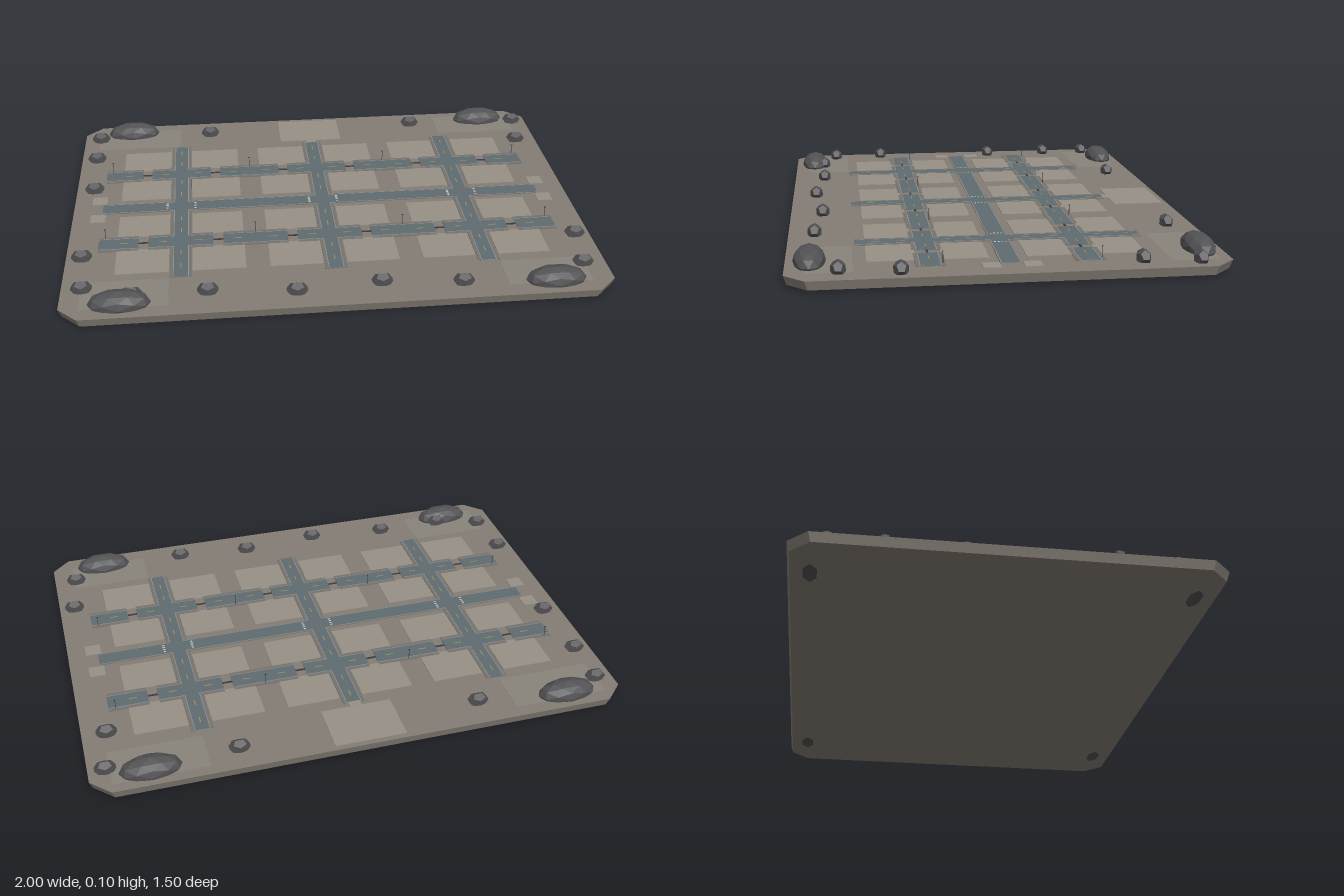
import * as THREE from 'three';

const mat = (color, flatShading = false) => new THREE.MeshStandardMaterial({ color, flatShading });

export function createModel() {
  const model = new THREE.Group();
  const ground = mat(0x857d75), paving = mat(0x979087), lot = mat(0x89857c), walk = mat(0x76736e);
  const asphalt = mat(0x5f6c70), kerb = mat(0x8c9190), paint = mat(0xd0d0c8), yellow = mat(0xa0905c);
  const metal = mat(0x3c3c3e), stone = mat(0x525154, true);
  const TOP = 0.0415;

  // Thin slab resting in the ground, given by centre, size and top height
  const pad = (parent, name, m, x, z, w, d, top) => {
    const h = top - 0.036;
    const mesh = new THREE.Mesh(new THREE.BoxGeometry(w, h, d), m);
    mesh.position.set(x, top - h / 2, z);
    mesh.name = name;
    parent.add(mesh);
  };
  const section = (name) => {
    const g = new THREE.Group();
    g.name = name;
    model.add(g);
    return g;
  };

  // Base plate with cut corners, slightly narrower at the bottom
  const c = 0.07, X = 1, Z = 0.75;
  const outline = new THREE.Shape([
    [-X + c, -Z], [X - c, -Z], [X, -Z + c], [X, Z - c],
    [X - c, Z], [-X + c, Z], [-X, Z - c], [-X, -Z + c],
  ].map(([x, y]) => new THREE.Vector2(x, y)));
  const plate = new THREE.ExtrudeGeometry(outline, { depth: TOP - 0.008, bevelEnabled: false });
  plate.rotateX(-Math.PI / 2).translate(0, 0.008, 0);
  const p = plate.attributes.position;
  for (let i = 0; i < p.count; i++) {
    if (p.getY(i) < 0.02) p.setXYZ(i, p.getX(i) * 0.99, p.getY(i), p.getZ(i) * 0.987);
  }
  plate.computeVertexNormals();
  const base = new THREE.Mesh(plate, ground);
  base.name = 'basePlate';
  model.add(base);

  // Building lots
  const columns = [-0.715, -0.43, -0.143, 0.143, 0.43, 0.715];
  const lots = section('buildingLots');
  for (const x of columns) {
    for (const s of [-1, 1]) {
      pad(lots, 'innerLot', paving, x, s * 0.143, 0.198, 0.157, 0.0437);
      pad(lots, 'outerLot', paving, x, s * 0.395, 0.198, 0.167, 0.0437);
    }
  }
  pad(lots, 'plaza', paving, 0, -0.632, 0.268, 0.196, 0.0437);
  pad(lots, 'plazaStep', paving, 0, -0.522, 0.045, 0.025, 0.0455);
  for (const x of [-0.9, 0.9]) {
    for (const z of [-0.072, 0.068]) pad(lots, 'gatePad', paving, x, z, 0.06, 0.06, 0.0437);
  }
  pad(lots, 'cornerField', lot, -0.755, -0.615, 0.36, 0.17, 0.0422);
  pad(lots, 'cornerField', lot, 0.752, -0.628, 0.345, 0.165, 0.0422);
  pad(lots, 'cornerField', lot, -0.772, 0.605, 0.315, 0.17, 0.0422);
  pad(lots, 'cornerField', lot, 0.765, 0.605, 0.31, 0.16, 0.0422);

  // Roads with pavement and kerb, stacked in thin layers
  const roads = section('roads');
  const road = (x, z, w, d, side, lift = 0) => {
    const alongX = w > d;
    const wide = (n) => (alongX ? [w, d + n] : [w + n, d]);
    pad(roads, 'pavement', walk, x, z, ...wide(side), 0.0441 + lift);
    pad(roads, 'kerb', kerb, x, z, ...wide(0.006), 0.0444 + lift);
    pad(roads, 'road', asphalt, x, z, w, d, 0.0447 + lift);
  };
  const avenues = [-0.572, 0, 0.572];
  const edges = [-0.885, ...columns.flatMap((x) => [x - 0.019, x + 0.019]), 0.885];
  for (const z of [-0.272, 0.268]) {
    for (let i = 0; i < edges.length; i += 2) {
      road((edges[i] + edges[i + 1]) / 2, z, edges[i + 1] - edges[i], 0.068, 0.035);
    }
    for (const x of columns) pad(roads, 'linkBar', metal, x, z, 0.04, 0.007, 0.0446);
  }
  for (const x of avenues) road(x, 0, 0.052, 1.03, 0.03, 0.0001);
  road(0, 0, 1.77, 0.062, 0.01, 0.0002);

  // Dashed centre lines and crossings
  const marks = section('roadMarkings');
  for (const x of avenues) {
    for (const z of [-0.46, -0.36, -0.2, -0.1, 0.1, 0.19, 0.35, 0.44]) {
      pad(marks, 'centreDash', yellow, x, z, 0.004, 0.03, 0.0452);
    }
    for (const s of [-1, 1]) {
      for (let i = 0; i < 4; i++) {
        pad(marks, 'crossingStripe', paint, x + s * 0.056, -0.0195 + i * 0.013, 0.009, 0.006, 0.0453);
      }
    }
  }
  for (const z of [-0.272, 0.268]) {
    for (const x of columns) {
      for (const s of [-1, 1]) pad(marks, 'centreDash', yellow, x + s * 0.075, z, 0.03, 0.004, 0.0452);
    }
  }

  // Street lamps
  const lamps = section('streetLamps');
  for (const z of [-0.316, 0.226]) {
    for (const x of [-0.86, -0.285, 0.29, 0.86]) {
      const pole = new THREE.Mesh(new THREE.CylinderGeometry(0.001, 0.0012, 0.044, 6), metal);
      pole.position.set(x, 0.063, z);
      pole.name = 'lampPole';
      const head = new THREE.Mesh(new THREE.BoxGeometry(0.007, 0.002, 0.004), metal);
      head.position.set(x, 0.085, z);
      head.name = 'lampHead';
      lamps.add(pole, head);
    }
  }

  // Corner hills and scattered boulders
  const rocks = section('rocks');
  const hill = new THREE.IcosahedronGeometry(1, 1);
  const boulder = new THREE.DodecahedronGeometry(1, 0);
  const rock = (name, geo, x, y, z, sx, sy, sz) => {
    const mesh = new THREE.Mesh(geo, stone);
    mesh.position.set(x, y, z);
    mesh.scale.set(sx, sy, sz);
    mesh.name = name;
    rocks.add(mesh);
  };
  for (const x of [-0.787, 0.785]) {
    for (const z of [-0.672, 0.668]) rock('hill', hill, x, 0.049, z, 0.112, 0.049, 0.056);
  }
  const spots = [
    [-0.93, -0.62], [-0.445, -0.635], [0.465, -0.65], [0.938, -0.635],
    [-0.935, -0.43], [0.91, -0.445], [-0.927, -0.157], [-0.94, 0.36],
    [0.94, 0.37], [-0.925, 0.57], [-0.745, 0.625], [0.912, 0.573],
    [-0.475, 0.623], [-0.157, 0.655], [0.153, 0.627], [0.447, 0.655],
  ];
  spots.forEach(([x, z]) => rock('boulder', boulder, x, 0.055, z, 0.041, 0.029, 0.027));

  return model;
}
